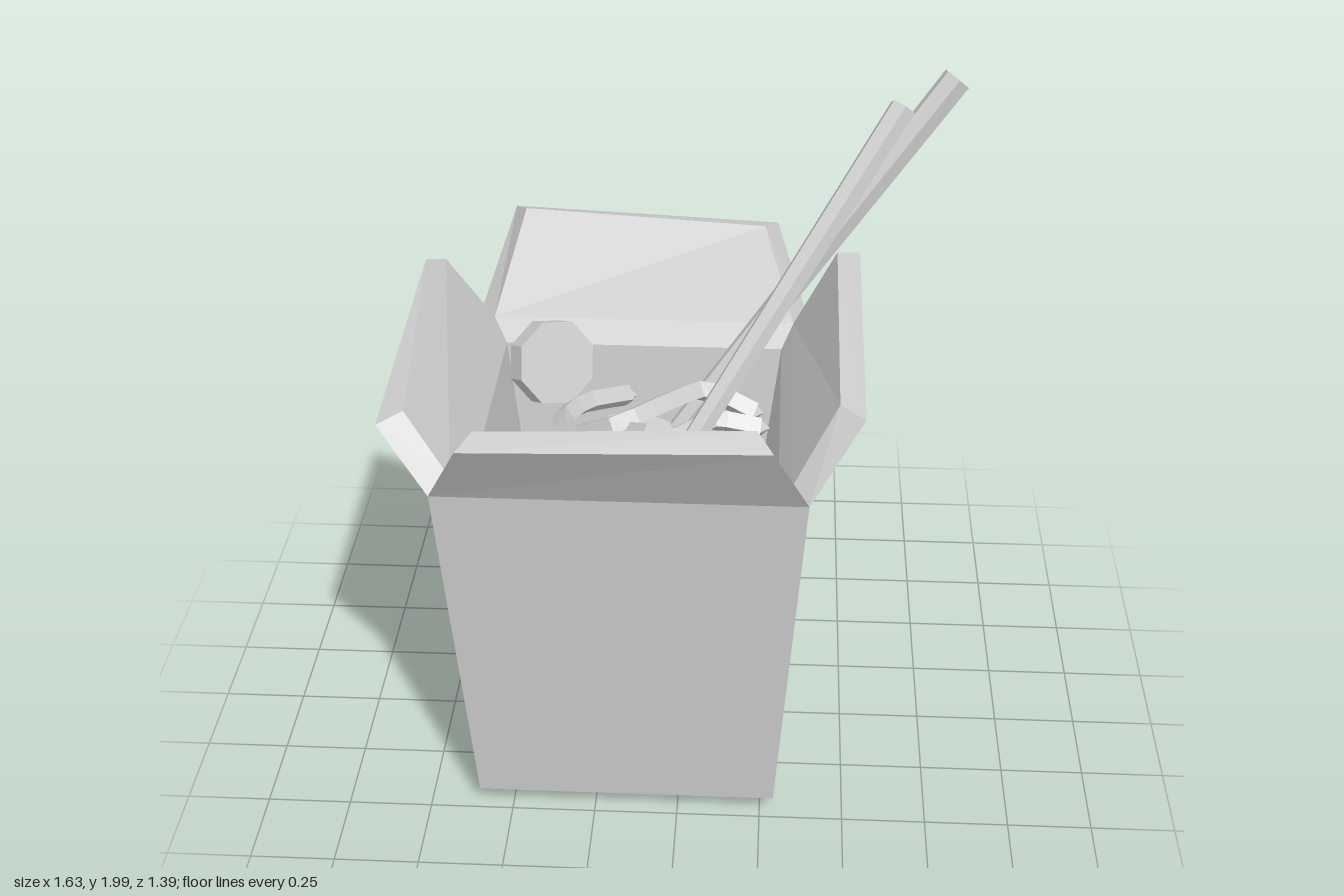
import * as THREE from 'three';

const material = new THREE.MeshStandardMaterial({ color: 0xcccccc, flatShading: true });
const V = (p) => new THREE.Vector3(...p);

function addMesh(parent, name, geometry) {
  const mesh = new THREE.Mesh(geometry, material);
  mesh.name = name;
  parent.add(mesh);
  return mesh;
}

// Flat-shaded geometry from four-cornered faces
function quadGeometry(quads) {
  const positions = [];
  for (const [a, b, c, d] of quads) positions.push(...a, ...b, ...c, ...a, ...c, ...d);
  const geometry = new THREE.BufferGeometry();
  geometry.setAttribute('position', new THREE.Float32BufferAttribute(positions, 3));
  geometry.computeVertexNormals();
  return geometry;
}

// Rectangular ring of corners: front left, front right, back right, back left
const ring = (x0, x1, z0, z1, y) => [[x0, y, z1], [x1, y, z1], [x1, y, z0], [x0, y, z0]];

// Six-sided stick from its lower end to its upper end
function addStick(parent, name, from, to, rLow, rTop) {
  const a = V(from), b = V(to);
  const dir = b.clone().sub(a);
  const mesh = addMesh(parent, name, new THREE.CylinderGeometry(rTop, rLow, dir.length(), 6));
  mesh.position.copy(a).add(b).multiplyScalar(0.5);
  mesh.quaternion.setFromUnitVectors(new THREE.Vector3(0, 1, 0), dir.normalize());
}

// Noodle with a square section and capped ends
function addNoodle(parent, points) {
  const curve = new THREE.CatmullRomCurve3(points.map(V), false, 'catmullrom', 0.3);
  const segments = points.length * 2;
  const noodle = new THREE.Group();
  noodle.name = 'noodle';
  parent.add(noodle);
  addMesh(noodle, 'strand', new THREE.TubeGeometry(curve, segments, 0.035, 4, false));
  for (const t of [0, 1]) {
    const cap = addMesh(noodle, 'strandEnd', new THREE.OctahedronGeometry(0.032));
    cap.position.copy(curve.getPoint(t));
  }
}

// Eight-sided food slice facing a given direction
function addSlice(parent, position, normal, radius, thickness) {
  const mesh = addMesh(parent, 'slice', new THREE.CylinderGeometry(radius, radius, thickness, 8));
  mesh.position.set(...position);
  mesh.quaternion.setFromUnitVectors(new THREE.Vector3(0, 1, 0), V(normal).normalize());
}

export function createModel() {
  const model = new THREE.Group();
  model.name = 'takeawayBox';

  // Container: outer wall, rim, inner wall and floor
  const base = ring(-0.6, 0.29, -0.41, 0.48, 0.055);
  base[2][1] = 0;
  const outer = ring(-0.675, 0.365, -0.49, 0.555, 1.165);
  const inner = ring(-0.62, 0.315, -0.44, 0.5, 1.19);
  const lip = ring(-0.58, 0.28, -0.4, 0.46, 1.12);
  const floor = ring(-0.46, 0.15, -0.28, 0.335, 0.12);
  const loops = [base, outer, inner, lip, floor];
  const quads = [[...base].reverse(), floor];
  for (let k = 0; k < loops.length - 1; k++) {
    for (let i = 0; i < 4; i++) {
      const j = (i + 1) % 4;
      quads.push([loops[k][i], loops[k][j], loops[k + 1][j], loops[k + 1][i]]);
    }
  }
  addMesh(model, 'container', quadGeometry(quads));

  // Flaps: two outer and two inner top corners each, hinged on the rim
  const flaps = [
    ['frontFlap', [-0.57, 1.395, 0.695], [0.265, 1.415, 0.695], [-0.53, 1.42, 0.625], [0.22, 1.445, 0.625]],
    ['leftFlap', [0.51, 1.395, 0.475], [0.51, 1.45, -0.42], [0.44, 1.415, 0.43], [0.44, 1.475, -0.37]],
    ['backFlap', [0.26, 1.44, -0.64], [-0.57, 1.45, -0.7], [0.22, 1.46, -0.57], [-0.53, 1.475, -0.63]],
    ['rightFlap', [-0.82, 1.395, -0.42], [-0.82, 1.34, 0.475], [-0.75, 1.42, -0.375], [-0.75, 1.36, 0.43]],
  ];
  flaps.forEach(([name, T0, T1, t0, t1], i) => {
    const j = (i + 1) % 4;
    addMesh(model, name, quadGeometry([
      [outer[i], outer[j], T1, T0],
      [T0, T1, t1, t0],
      [t0, t1, inner[j], inner[i]],
      [outer[i], T0, t0, inner[i]],
      [inner[j], t1, T1, outer[j]],
    ]));
  });

  // Chopsticks
  addStick(model, 'chopstickOne', [-0.03, 0.93, -0.225], [0.775, 1.965, -0.545], 0.034, 0.046);
  addStick(model, 'chopstickTwo', [0.035, 1.1, 0.095], [0.615, 1.91, -0.45], 0.034, 0.042);

  // Noodles
  const noodles = [
    [[-0.19, 1.04, -0.23], [-0.31, 1.08, -0.11], [-0.36, 1.1, 0.02], [-0.33, 1.1, 0.25], [-0.45, 1.06, 0.41]],
    [[0.2, 1.05, -0.13], [0.05, 1.12, -0.14], [-0.08, 1.13, -0.02], [-0.19, 1.12, 0.07], [-0.31, 1.06, 0.03]],
    [[-0.2, 1.06, 0.02], [-0.1, 1.12, 0.13], [0.15, 1.12, 0.22], [0.25, 1.07, 0.4]],
    [[0.22, 1.02, -0.09], [0.08, 1.05, -0.08], [-0.03, 1.06, 0.04], [-0.12, 1.04, 0.09]],
  ];
  noodles.forEach((points) => addNoodle(model, points));

  // Food slices
  addSlice(model, [-0.43, 1.1, -0.32], [0.57, 0.35, 0.75], 0.135, 0.07);
  addSlice(model, [-0.2, 1.06, 0.33], [-0.4, 0.7, -0.5], 0.135, 0.06);
  addSlice(model, [-0.15, 0.98, -0.04], [0.1, 1, 0.1], 0.13, 0.06);

  return model;
}
